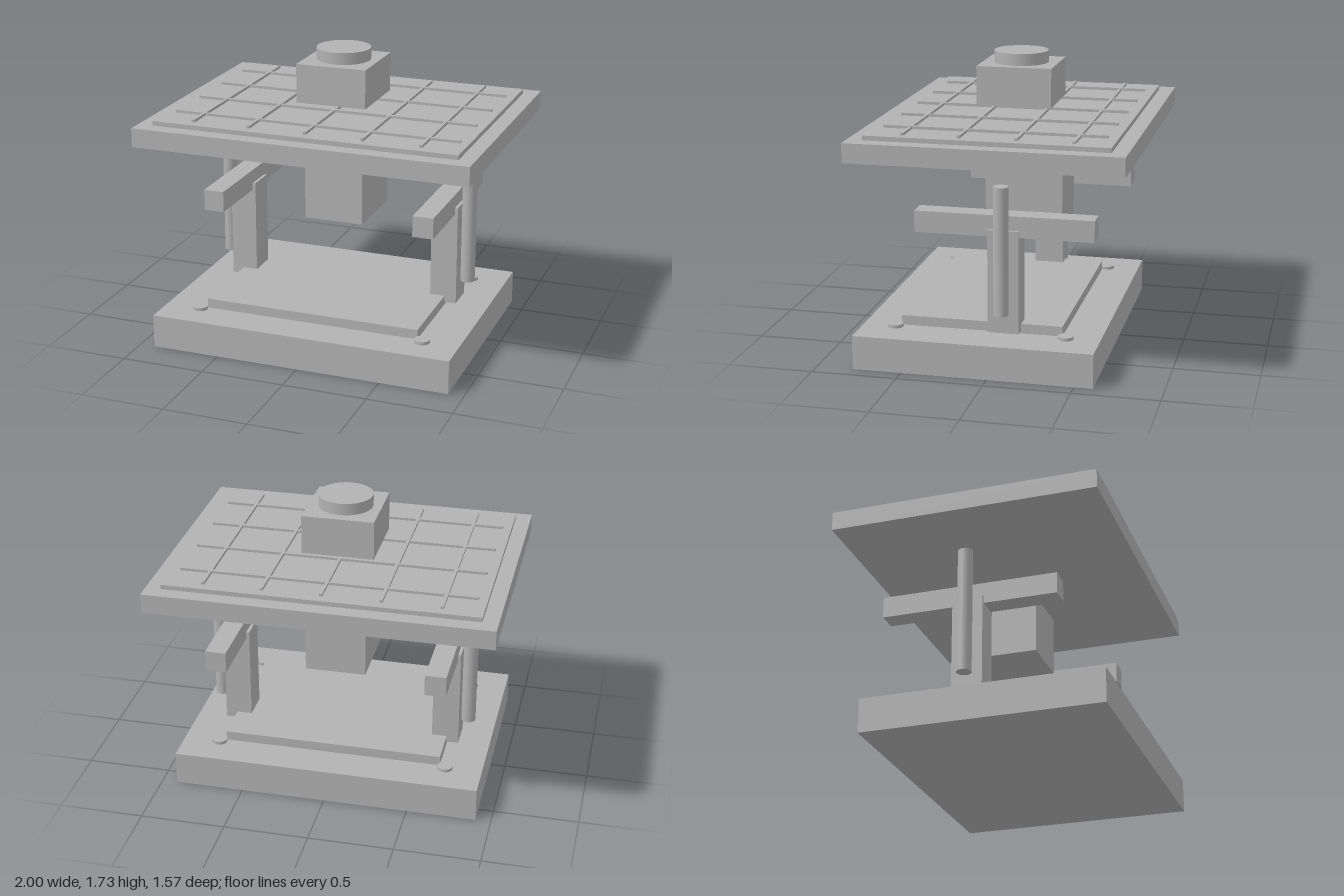
import * as THREE from 'three';

export function createModel() {
  const model = new THREE.Group();
  model.name = 'pressTable';
  const grey = new THREE.MeshStandardMaterial({ color: 0xb2b2b2 });
  grey.name = 'plain grey';

  const add = (name, geometry, x, y, z) => {
    const mesh = new THREE.Mesh(geometry, grey);
    mesh.name = name;
    mesh.position.set(x, y, z);
    model.add(mesh);
  };
  // Box from its extents along each axis
  const box = (name, [x0, x1], [y0, y1], [z0, z1]) =>
    add(name, new THREE.BoxGeometry(x1 - x0, y1 - y0, z1 - z0),
      (x0 + x1) / 2, (y0 + y1) / 2, (z0 + z1) / 2);
  // Upright cylinder between two heights
  const cylinder = (name, r, x, [y0, y1], z) =>
    add(name, new THREE.CylinderGeometry(r, r, y1 - y0, 32), x, (y0 + y1) / 2, z);

  // Base with raised plate
  box('base', [-0.91, 0.91], [0, 0.2], [-0.609, 0.785]);
  box('basePlate', [-0.655, 0.655], [0.2, 0.257], [-0.385, 0.565]);

  // Mirrored supports, rails, rods and bolts
  for (const [side, s] of [['left', 1], ['right', -1]]) {
    const cx = s * 0.645;
    box(side + 'Column', [cx - 0.08, cx + 0.08], [0.218, 0.822], [-0.145, 0.035]);
    box(side + 'Rail', [cx - 0.0615, cx + 0.0615], [0.78, 0.905], [-0.573, 0.465]);
    cylinder(side + 'Rod', 0.043, s * 0.77, [0.342, 1.09], -0.054);
    cylinder(side + 'FrontBolt', 0.045, s * 0.692, [0.2, 0.219], 0.592);
    cylinder(side + 'BackBolt', 0.045, s * 0.692, [0.2, 0.219], -0.41);
  }

  // Block hanging under the table
  box('centreBlock', [-0.18, 0.18], [0.7, 1.056], [-0.285, 0.178]);

  // Table top with raised panel and rib grid
  box('tableTop', [-1, 1], [1.232, 1.345], [-0.785, 0.785]);
  box('tablePanel', [-0.91, 0.91], [1.345, 1.372], [-0.695, 0.695]);
  for (const z of [-0.482, -0.161, 0.161, 0.482])
    box('crossRib', [-0.86, 0.86], [1.372, 1.387], [z - 0.009, z + 0.009]);
  for (const x of [-0.68, -0.34, 0, 0.34, 0.68])
    box('lengthRib', [x - 0.009, x + 0.009], [1.372, 1.388], [-0.64, 0.64]);

  // Upper block and its round cap
  box('upperBlock', [-0.212, 0.212], [1.424, 1.655], [-0.222, 0.222]);
  cylinder('roundCap', 0.16, 0, [1.655, 1.725], 0);

  return model;
}
